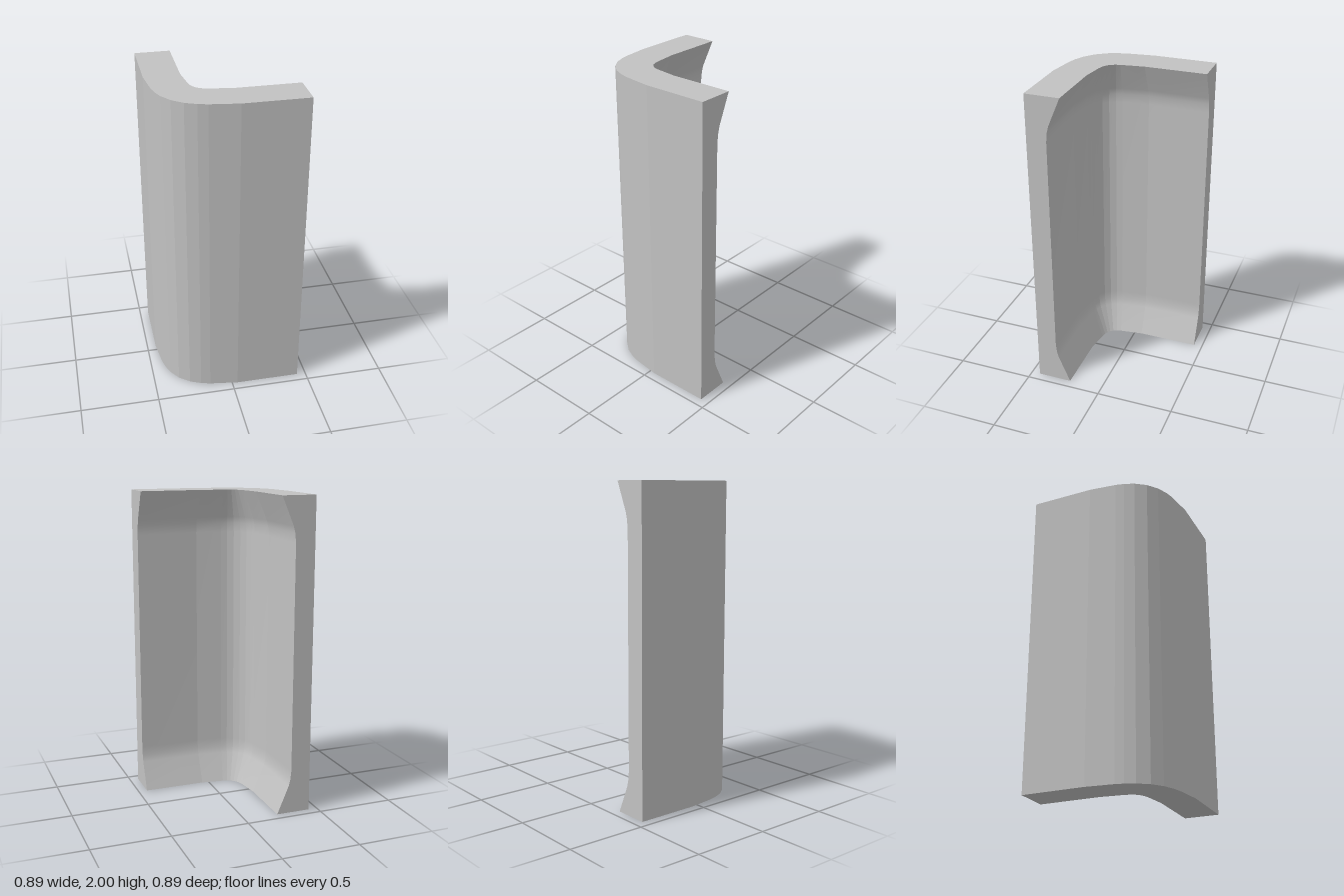
import * as THREE from 'three';
import { mergeGeometries } from 'three/addons/utils/BufferGeometryUtils.js';

// Plan curves [x, z], running from the back end round the corner to the left end
const OUTER = [[-0.443, -0.443], [-0.443, -0.04], [-0.422, 0.135], [-0.409, 0.188], [-0.385, 0.25],
  [-0.337, 0.318], [-0.272, 0.37], [-0.203, 0.401], [-0.144, 0.417], [0.035, 0.443], [0.443, 0.443]];
const INNER_RIM = [[-0.222, -0.443], [-0.222, -0.05], [-0.202, 0.1], [-0.195, 0.127], [-0.184, 0.152],
  [-0.168, 0.17], [-0.15, 0.184], [-0.128, 0.194], [-0.1, 0.201], [0.045, 0.222], [0.443, 0.222]];
const INNER_WAIST = [[-0.315, -0.443], [-0.315, -0.05], [-0.291, 0.12], [-0.282, 0.16], [-0.264, 0.2],
  [-0.235, 0.235], [-0.2, 0.264], [-0.16, 0.282], [-0.12, 0.291], [0.045, 0.315], [0.443, 0.315]];

// Rows up the height: [y, how far the inner face has moved from rim to waist]
const HALF_ROWS = [[0, 0], [0.18, 0.82], [0.22, 0.93], [0.28, 1]];
const ROWS = [...HALF_ROWS, ...HALF_ROWS.map(([y, t]) => [2 - y, t]).reverse()];

// Surface through a list of columns: smooth along each column, faceted between columns
function sheet(columns) {
  const facets = [];
  for (let i = 0; i < columns.length - 1; i++) {
    const a = columns[i], b = columns[i + 1], index = [];
    for (let r = 0; r < a.length - 1; r++) {
      const k = 2 * r;
      index.push(k, k + 1, k + 3, k, k + 3, k + 2);
    }
    const g = new THREE.BufferGeometry();
    g.setAttribute('position', new THREE.Float32BufferAttribute(a.flatMap((p, r) => [...p, ...b[r]]), 3));
    g.setIndex(index);
    g.computeVertexNormals();
    facets.push(g);
  }
  return mergeGeometries(facets);
}

export function createModel() {
  const group = new THREE.Group();
  group.name = 'cornerMoulding';
  const grey = new THREE.MeshStandardMaterial({ color: 0xc2c2c2 });
  grey.name = 'grey';

  const outer = OUTER.map(([x, z]) => ROWS.map(([y]) => [x, y, z]));
  const inner = INNER_RIM.map(([x, z], i) => ROWS.map(([y, t]) => [
    THREE.MathUtils.lerp(x, INNER_WAIST[i][0], t), y, THREE.MathUtils.lerp(z, INNER_WAIST[i][1], t)]));
  const last = OUTER.length - 1, top = ROWS.length - 1;
  const cap = (row) => outer.map((column, i) => [column[row], inner[i][row]]);

  const parts = {
    outerFace: outer,
    innerFace: [...inner].reverse(),
    topCap: cap(top),
    bottomCap: cap(0).reverse(),
    backEnd: [inner[0], outer[0]],
    leftEnd: [outer[last], inner[last]],
  };
  for (const [name, columns] of Object.entries(parts)) {
    const mesh = new THREE.Mesh(sheet(columns), grey);
    mesh.name = name;
    group.add(mesh);
  }
  return group;
}
